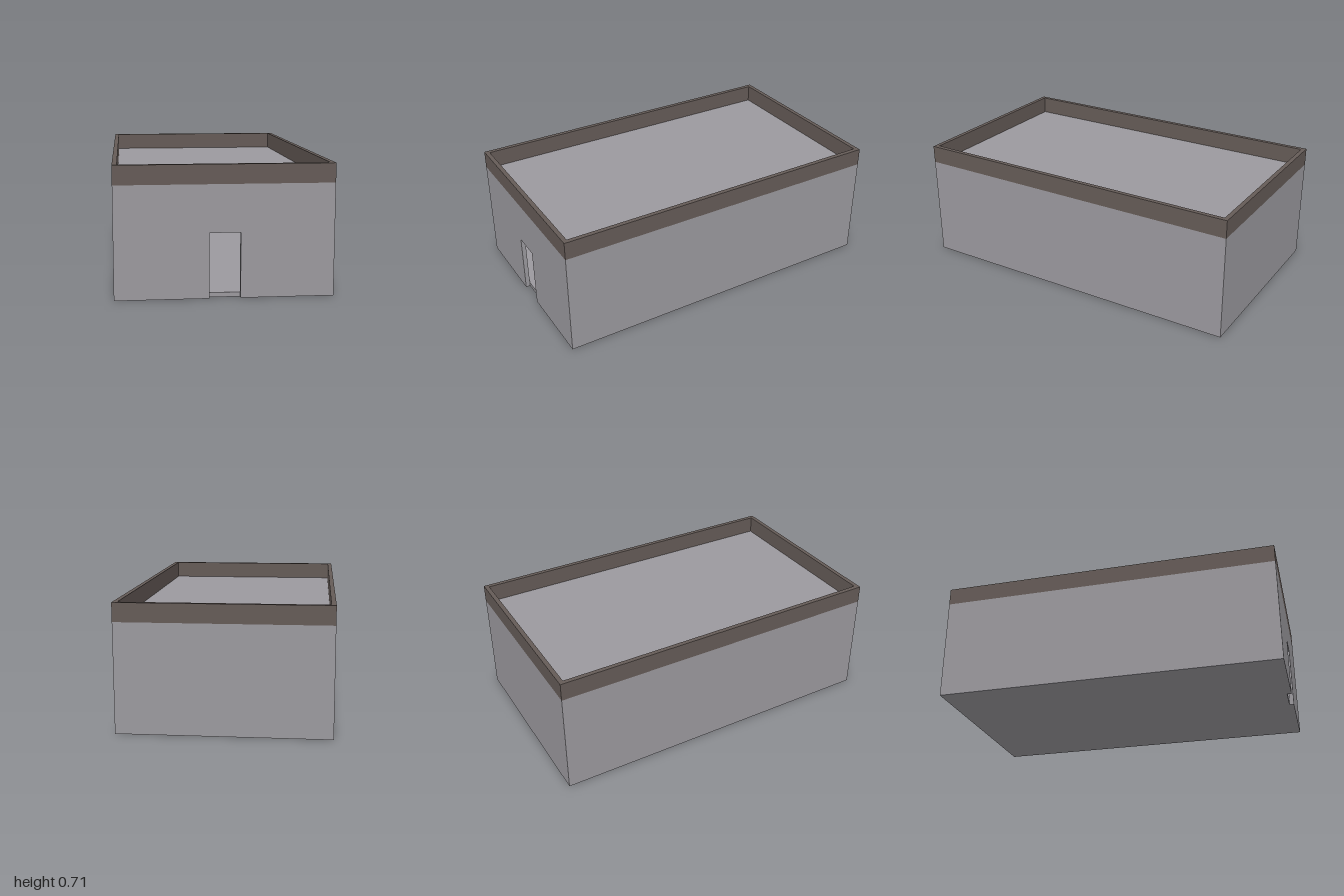
import * as THREE from 'three';

const W = 0.583, D = 1, T = 0.026;         // half width, half depth, wall thickness
const WALL_H = 0.608, TOP = 0.712;         // wall height, parapet top
const DOOR_W = 0.083, DOOR_H = 0.352;      // half door width, door height
const SLAB = 0.025;

const grey = new THREE.MeshStandardMaterial({ color: 0x9b999e });
grey.name = 'concrete grey';
const brown = new THREE.MeshStandardMaterial({ color: 0x655b57 });
brown.name = 'parapet brown';

const polygon = (Type, points) => new Type(points.map(([x, y]) => new THREE.Vector2(x, y)));
const rectangle = (Type, x, y) => polygon(Type, [[-x, -y], [x, -y], [x, y], [-x, y]]);

export function createModel() {
  const building = new THREE.Group();
  building.name = 'building';

  const add = (name, geometry, material, x, y, z) => {
    const mesh = new THREE.Mesh(geometry, material);
    mesh.name = name;
    mesh.position.set(x, y, z);
    building.add(mesh);
    return mesh;
  };
  const box = (name, w, h, d, x, y, z) =>
    add(name, new THREE.BoxGeometry(w, h, d), grey, x, y + h / 2, z);

  // Front wall with an open doorway reaching the ground
  const front = polygon(THREE.Shape, [
    [-W, 0], [-DOOR_W, 0], [-DOOR_W, DOOR_H], [DOOR_W, DOOR_H],
    [DOOR_W, 0], [W, 0], [W, WALL_H], [-W, WALL_H],
  ]);
  add('frontWall', new THREE.ExtrudeGeometry(front, { depth: T, bevelEnabled: false }), grey, 0, 0, D - T);

  // Back and side walls
  box('backWall', 2 * W, WALL_H, T, 0, 0, -D + T / 2);
  for (const [name, s] of [['leftWall', 1], ['rightWall', -1]]) {
    box(name, T, WALL_H, 2 * (D - T), s * (W - T / 2), 0, 0);
  }

  // Floor and roof slabs between the walls
  box('floor', 2 * (W - T), SLAB, 2 * (D - T), 0, 0, 0);
  box('roof', 2 * (W - T), SLAB, 2 * (D - T), 0, WALL_H - SLAB, 0);

  // Parapet ring around the roof
  const ring = rectangle(THREE.Shape, W, D);
  ring.holes.push(rectangle(THREE.Path, W - T, D - T));
  const parapet = new THREE.ExtrudeGeometry(ring, { depth: TOP - WALL_H, bevelEnabled: false });
  parapet.rotateX(-Math.PI / 2);
  add('parapet', parapet, brown, 0, WALL_H, 0);

  return building;
}
